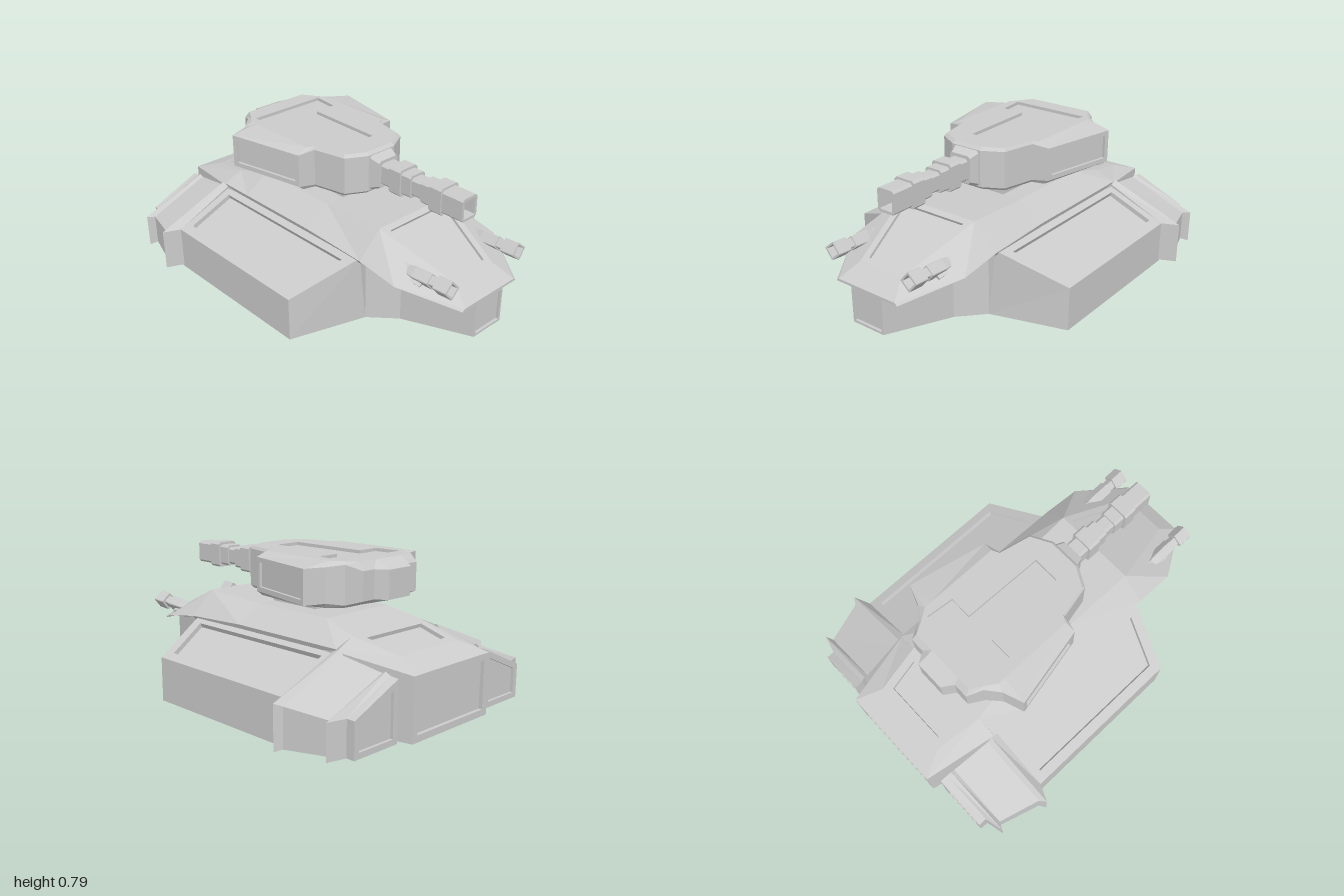
import * as THREE from 'three';

const V = (x, y, z) => new THREE.Vector3(x, y, z);
const grey = () => new THREE.MeshStandardMaterial({ color: 0xcccccc, flatShading: true });
const centroid = pts => pts.reduce((a, p) => a.add(p), V(0, 0, 0)).divideScalar(pts.length);

// Polygon normal, area weighted
function normalOf(pts) {
  const n = V(0, 0, 0);
  pts.forEach((p, i) => n.add(p.clone().cross(pts[(i + 1) % pts.length])));
  return n;
}

// Emits one polygon; with inset = [width, depth] it becomes a frame around a sunken panel
function emit(out, pts, inset) {
  const tri = (...t) => t.forEach(p => out.push(p.x, p.y, p.z));
  if (inset) {
    const [w, d] = inset, n = normalOf(pts).normalize(), k = pts.length;
    const rim = pts.map((p, i) => {
      const a = p.clone().sub(pts[(i + k - 1) % k]).normalize();
      const b = pts[(i + 1) % k].clone().sub(p).normalize();
      const na = n.clone().cross(a), nb = n.clone().cross(b);
      return p.clone().addScaledVector(na.clone().add(nb), w / (1 + na.dot(nb)));
    });
    const floor = rim.map(p => p.clone().addScaledVector(n, -d));
    for (const [A, B] of [[pts, rim], [rim, floor]])
      for (let i = 0; i < k; i++) {
        const j = (i + 1) % k;
        tri(A[i], A[j], B[j]);
        tri(A[i], B[j], B[i]);
      }
    pts = floor;
  }
  if (pts.length <= 4) {
    for (let i = 1; i < pts.length - 1; i++) tri(pts[0], pts[i], pts[i + 1]);
  } else {
    const c = centroid(pts);
    pts.forEach((p, i) => tri(c, p, pts[(i + 1) % pts.length]));
  }
}

function meshOf(name, faces) {
  const out = [];
  faces.forEach(([pts, inset]) => emit(out, pts, inset));
  const g = new THREE.BufferGeometry();
  g.setAttribute('position', new THREE.Float32BufferAttribute(out, 3));
  g.computeVertexNormals();
  const m = new THREE.Mesh(g, grey());
  m.name = name;
  return m;
}

// Faces of a roughly convex solid, each turned outwards from its centre
function solid(name, faces) {
  const c = centroid(faces.flatMap(f => f[0]));
  return meshOf(name, faces.map(([pts, inset]) =>
    [normalOf(pts).dot(centroid(pts).sub(c)) < 0 ? [...pts].reverse() : pts, inset]));
}

// Skin over rings of equal count; insetAt(ring, side) and endInset give sunken panels
function loft(name, rings, insetAt = () => null, endInset = null) {
  const faces = [[[...rings[0]].reverse(), null], [[...rings.at(-1)], endInset]];
  for (let r = 0; r < rings.length - 1; r++)
    rings[r].forEach((p, i) => {
      const j = (i + 1) % rings[r].length;
      faces.push([[p, rings[r][j], rings[r + 1][j], rings[r + 1][i]], insetAt(r, i)]);
    });
  let volume = 0;
  for (const [f] of faces)
    for (let i = 1; i < f.length - 1; i++) volume += f[0].dot(f[i].clone().cross(f[i + 1]));
  if (volume < 0) faces.forEach(f => f[0].reverse());
  return meshOf(name, faces);
}

const mirror = p => V(p.x, p.y, -p.z);
const closed = half => [...half, ...[...half].reverse().map(mirror)];

// Chamfered rectangular section across x
function section(x, hy, hz, c) {
  return [[hy, hz - c], [hy - c, hz], [c - hy, hz], [-hy, hz - c],
    [-hy, c - hz], [c - hy, -hz], [hy - c, -hz], [hy, c - hz]].map(([y, z]) => V(x, y, z));
}

export function createModel() {
  const model = new THREE.Group();

  // Lower hull with sunken belly: [x, z, bottom y, top y]
  const plan = [[-1, .29, .015, .335], [-.6, .37, .01, .385], [.47, .31, .01, .375],
    [.6, .19, .01, .35], [1, .1, .07, .265]];
  const low = plan.map(([x, z, b]) => V(x, b, z)), high = plan.map(([x, z, , t]) => V(x, t, z));
  const band = (a, b, inset) => [[a, b, mirror(b), mirror(a)], inset];
  const lower = [band(low[0], high[0], [.035, .02]), band(low[4], high[4], [.012, .015]),
    [closed(low.slice(0, 4)), [.05, .03]], band(low[3], low[4])];
  for (let i = 0; i < 4; i++) {
    const wall = [low[i], low[i + 1], high[i + 1], high[i]];
    lower.push([wall], [wall.map(mirror)]);
  }
  model.add(solid('lowerHull', lower));

  // Rear deck with sunken engine cover
  const rimA = high[0], rimB = high[1], topA = V(-.86, .385, .22), topB = V(-.6, .442, .26);
  const side = [rimA, rimB, topB, topA];
  model.add(solid('rearDeck', [band(rimA, topA), band(topA, topB, [.045, .02]),
    [side], [side.map(mirror)], band(rimA, rimB)]));

  // Main deck, overhanging the side pods
  const deck = [[-.6, .26, .442], [-.4, .23, .49], [.1, .23, .49], [.49, .24, .51]]
    .map(([x, z, y], i) => closed([V(x, .36, .36), V(x, i < 3 ? .397 : .38, .372), V(x, y, z)]));
  model.add(loft('mainDeck', deck));

  // Overhanging nose with sunken glacis panel
  const t0 = V(.49, .51, .24), t1 = V(.9, .345, .135), t2 = V(1, .275, .185);
  const e0 = V(.49, .38, .372), e1 = V(.72, .345, .37), e2 = V(1, .262, .2);
  const cheeks = [[t0, e0, e1], [t0, e1, t1], [t1, e1, t2], [e1, e2, t2]];
  model.add(solid('noseDeck', [band(t0, t1, [.035, .015]), band(t1, t2), band(t2, e2), band(t0, e0),
    ...cheeks.map(f => [f]), ...cheeks.map(f => [f.map(mirror)]), [closed([e0, e1, e2])]]));

  for (const s of [1, -1]) {
    const label = s > 0 ? 'left' : 'right';
    // Side pod
    const a = V(-.59, 0, .7 * s), b = V(.34, 0, .7 * s), c = V(.47, .01, .31 * s), d = V(-.59, .01, .33 * s);
    const A = V(-.59, .235, .7 * s), B = V(.34, .235, .7 * s), C = V(.47, .38, .35 * s), D = V(-.59, .38, .35 * s);
    model.add(solid(label + 'SidePod', [[[a, b, c, d], [.08, .03]], [[a, b, B, A]],
      [[A, B, C, D], [.055, .025]], [[b, c, C, B]], [[a, d, D, A]]]));

    // Rear fender with two flanges and a sunken end panel: [x, inner z, outer z, outer top, inner top, bottom]
    const fender = [[-.58, .37, .7, .235, .385, .01], [-.62, .37, .79, .235, .4, .01],
      [-.645, .37, .755, .22, .375, .02], [-.865, .35, .69, .195, .335, .03],
      [-.885, .35, .73, .2, .345, .02], [-.91, .345, .63, .2, .33, .02], [-.955, .345, .63, .2, .325, .02]];
    model.add(loft(label + 'RearFender', fender.map(([x, zi, zo, yo, yi, yb]) =>
      [V(x, yb, zi * s), V(x, yb, zo * s), V(x, yo, zo * s), V(x, yi, zi * s)]), undefined, [.03, .015]));

    // Small gun, rolled about its own axis
    const gun = loft(label + 'SmallGun', [[-.14, .022], [-.08, .03], [.02, .03], [.02, .024],
      [.06, .024], [.06, .036], [.14, .036]].map(([x, h]) => section(x, h, h, .004)), undefined, [.01, .05]);
    gun.position.set(.83, .382, .25 * s);
    gun.rotation.set(s * .7, s * .04, .04);
    model.add(gun);
    const mount = new THREE.Mesh(new THREE.BoxGeometry(.16, .05, .07), grey());
    mount.name = label + 'GunMount';
    mount.position.set(.72, .365, .255 * s);
    mount.rotation.set(s * .7, 0, -.2);
    model.add(mount);
  }

  // Turret neck
  const neck = new THREE.Mesh(new THREE.BoxGeometry(.32, .12, .24), grey());
  neck.name = 'turretNeck';
  neck.position.set(-.055, .52, 0);
  model.add(neck);

  // Turret body with sunken side panels; the last ring is the floor of the roof recess
  const turretPlan = [[.26, .09], [.2, .2], [.02, .24], [0, .33], [-.43, .42], [-.47, .31],
    [-.53, .24], [-.61, .2], [-.61, .12], [-.67, .08]];
  const narrowed = (k, xMin, zMax) => turretPlan.map(([x, z]) =>
    [Math.max(-.15 + (x + .15) * k, xMin), Math.min(z * k, zMax)]);
  const ring = (pts, yOf) => closed(pts.map(([x, z]) => V(x, yOf(x, z), z)));
  const drop = (x, z) => x < -.55 ? .04 : z > .25 ? .025 : .015;
  const roofPlan = narrowed(.96, -.58, .27), n = turretPlan.length;
  model.add(loft('turretBody', [ring(narrowed(.96, -.52, .3), () => .56),
    ring(turretPlan, (x, z) => .56 + drop(x, z)), ring(turretPlan, (x, z) => .787 - drop(x, z)),
    ring(roofPlan, () => .787), ring(roofPlan, () => .77)],
  (r, i) => r === 1 && (i === 3 || i === 2 * n - 5) ? [.025, .015] : null));

  // Turret roof plate with T-shaped recess
  const path = half => closed(half.map(([x, z]) => V(x, 0, z))).map(p => new THREE.Vector2(p.x, p.z));
  const roof = new THREE.Shape(path(roofPlan));
  roof.holes.push(new THREE.Path(path([[.12, .075], [-.33, .085], [-.33, .21], [-.48, .225]])));
  const plate = new THREE.Mesh(new THREE.ExtrudeGeometry(roof, { depth: .017, bevelEnabled: false }), grey());
  plate.name = 'turretRoof';
  plate.rotation.x = Math.PI / 2;
  plate.position.y = .787;
  model.add(plate);

  // Main cannon: stepped chamfered sections, hollow muzzle
  const steps = [[.2, .095, .085], [.26, .095, .08], [.31, .075, .065], [.31, .058, .05], [.375, .058, .05],
    [.375, .073, .062], [.45, .073, .062], [.45, .06, .052], [.51, .06, .052], [.51, .048, .042],
    [.575, .048, .042], [.575, .058, .05], [.64, .058, .05], [.64, .072, .062], [.715, .072, .062],
    [.715, .061, .053], [.84, .061, .053]];
  const cannon = loft('mainCannon', steps.map(([x, hy, hz]) => section(x, hy, hz, .012)), undefined, [.014, .1]);
  cannon.position.y = .673;
  model.add(cannon);

  return model;
}
